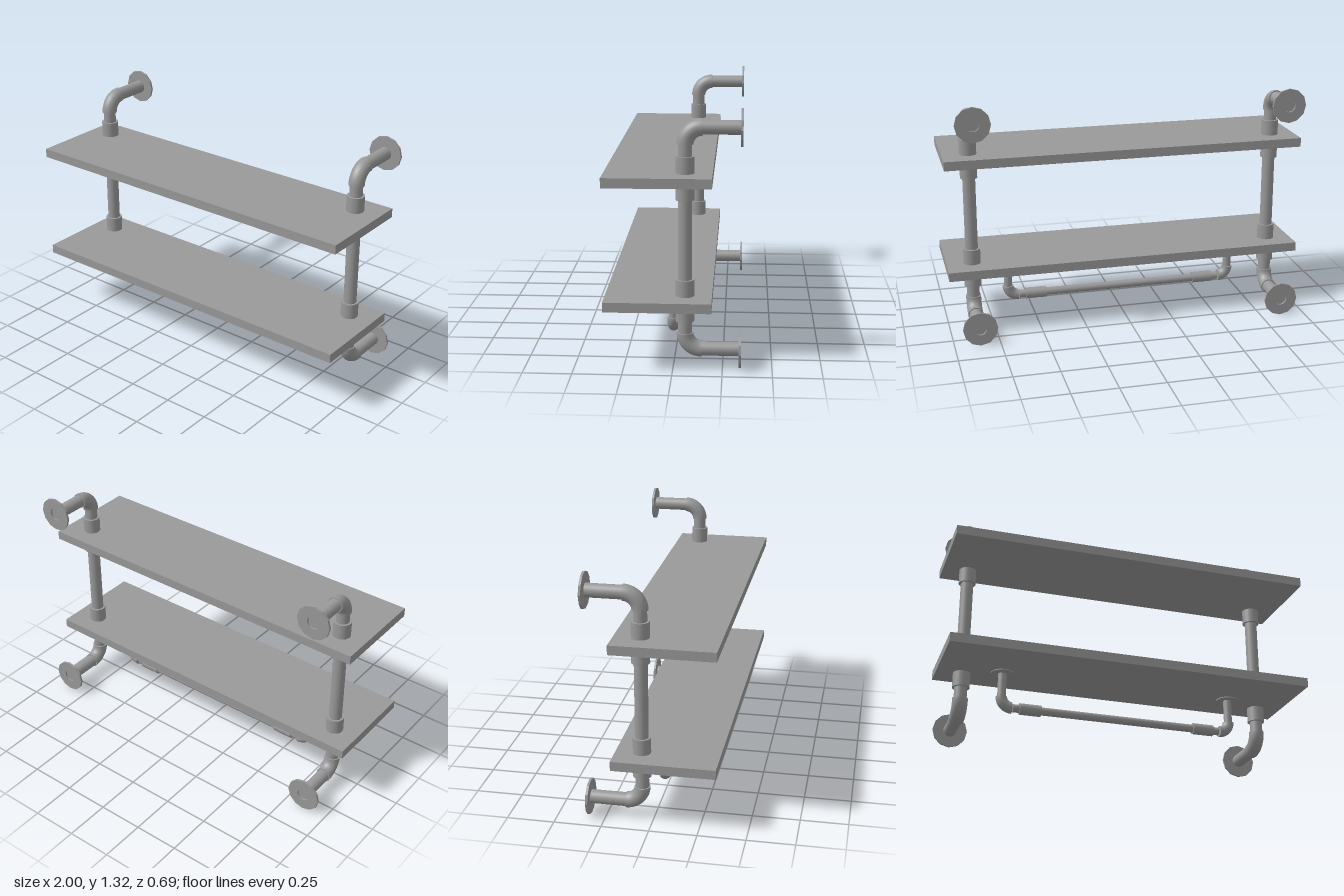
import * as THREE from 'three';

const material = new THREE.MeshStandardMaterial({ color: 0x999999 });
const V = (x, y, z) => new THREE.Vector3(x, y, z);

function add(parent, name, geometry) {
  const mesh = new THREE.Mesh(geometry, material);
  mesh.name = name;
  parent.add(mesh);
  return mesh;
}

// Straight capped cylinder between two points
function pipe(parent, name, a, b, radius, sides = 24) {
  const dir = b.clone().sub(a);
  const mesh = add(parent, name, new THREE.CylinderGeometry(radius, radius, dir.length(), sides));
  mesh.position.copy(a).lerp(b, 0.5);
  mesh.quaternion.setFromUnitVectors(V(0, 1, 0), dir.normalize());
  return mesh;
}

// Quarter bend around a corner point, leaving it along directions u and v, with closed ends
function elbow(parent, name, corner, u, v, bend, radius) {
  const group = new THREE.Group();
  group.name = name;
  parent.add(group);
  const at = (dir, t) => corner.clone().addScaledVector(dir, t);
  const k = bend * (1 - 0.5523);
  const curve = new THREE.CubicBezierCurve3(at(u, bend), at(u, k), at(v, k), at(v, bend));
  add(group, name + 'Bend', new THREE.TubeGeometry(curve, 14, radius, 24));
  for (const dir of [u, v]) {
    const cap = add(group, name + 'End', new THREE.CircleGeometry(radius, 24));
    cap.position.copy(at(dir, bend));
    cap.quaternion.setFromUnitVectors(V(0, 0, 1), dir);
  }
}

// Wall flange: a twelve-sided ring around the pipe end
function flange(parent, x, y) {
  const profile = [[0.035, 0], [0.095, 0], [0.095, 0.012], [0.035, 0.012], [0.035, 0]]
    .map(([r, h]) => new THREE.Vector2(r, h));
  const geometry = new THREE.LatheGeometry(profile, 12).toNonIndexed();
  geometry.computeVertexNormals();
  const mesh = add(parent, 'wallFlange', geometry);
  mesh.rotation.x = Math.PI / 2;
  mesh.position.set(x, y, -0.343);
}

export function createModel() {
  const model = new THREE.Group();
  model.name = 'pipeShelf';
  const shelfY = [0.35, 0.976];
  const up = V(0, 1, 0), down = V(0, -1, 0), back = V(0, 0, -1);

  // Two boards
  for (const y of shelfY) {
    add(model, 'shelfBoard', new THREE.BoxGeometry(2, 0.05, 0.538)).position.set(0, y, 0.074);
  }

  // Upright pipes with couplings, elbows and wall flanges
  const postZ = -0.059, bend = 0.085, low = 0.095, high = 1.229;
  for (const [side, x] of [['right', -0.862], ['left', 0.858]]) {
    const post = new THREE.Group();
    post.name = side + 'Support';
    model.add(post);
    pipe(post, 'uprightPipe', V(x, low + bend - 0.01, postZ), V(x, high - bend + 0.01, postZ), 0.035);
    for (const y of shelfY) {
      pipe(post, 'coupling', V(x, y - 0.109, postZ), V(x, y + 0.11, postZ), 0.047);
    }
    for (const [y, dir] of [[low, up], [high, down]]) {
      elbow(post, 'elbow', V(x, y, postZ), dir, back, bend, 0.042);
      pipe(post, 'wallPipe', V(x, y, postZ - bend + 0.01), V(x, y, -0.332), 0.036);
      flange(post, x, y);
    }
  }

  // Hanging rail under the lower board
  const rail = new THREE.Group();
  rail.name = 'hangingRail';
  model.add(rail);
  const railY = 0.131, railZ = 0.012, railBend = 0.057, endX = 0.653;
  pipe(rail, 'railPipe', V(-0.59, railY, railZ), V(0.59, railY, railZ), 0.022);
  for (const s of [-1, 1]) {
    const x = s * endX;
    elbow(rail, 'railElbow', V(x, railY, railZ), up, V(-s, 0, 0), railBend, 0.031);
    pipe(rail, 'railCoupling', V(s * 0.436, railY, railZ), V(s * 0.554, railY, railZ), 0.031);
    pipe(rail, 'railHanger', V(x, railY + railBend - 0.01, railZ), V(x, 0.326, railZ), 0.023);
    pipe(rail, 'railPlate', V(x, 0.32, railZ), V(x, 0.327, railZ), 0.064, 12);
  }
  return model;
}
